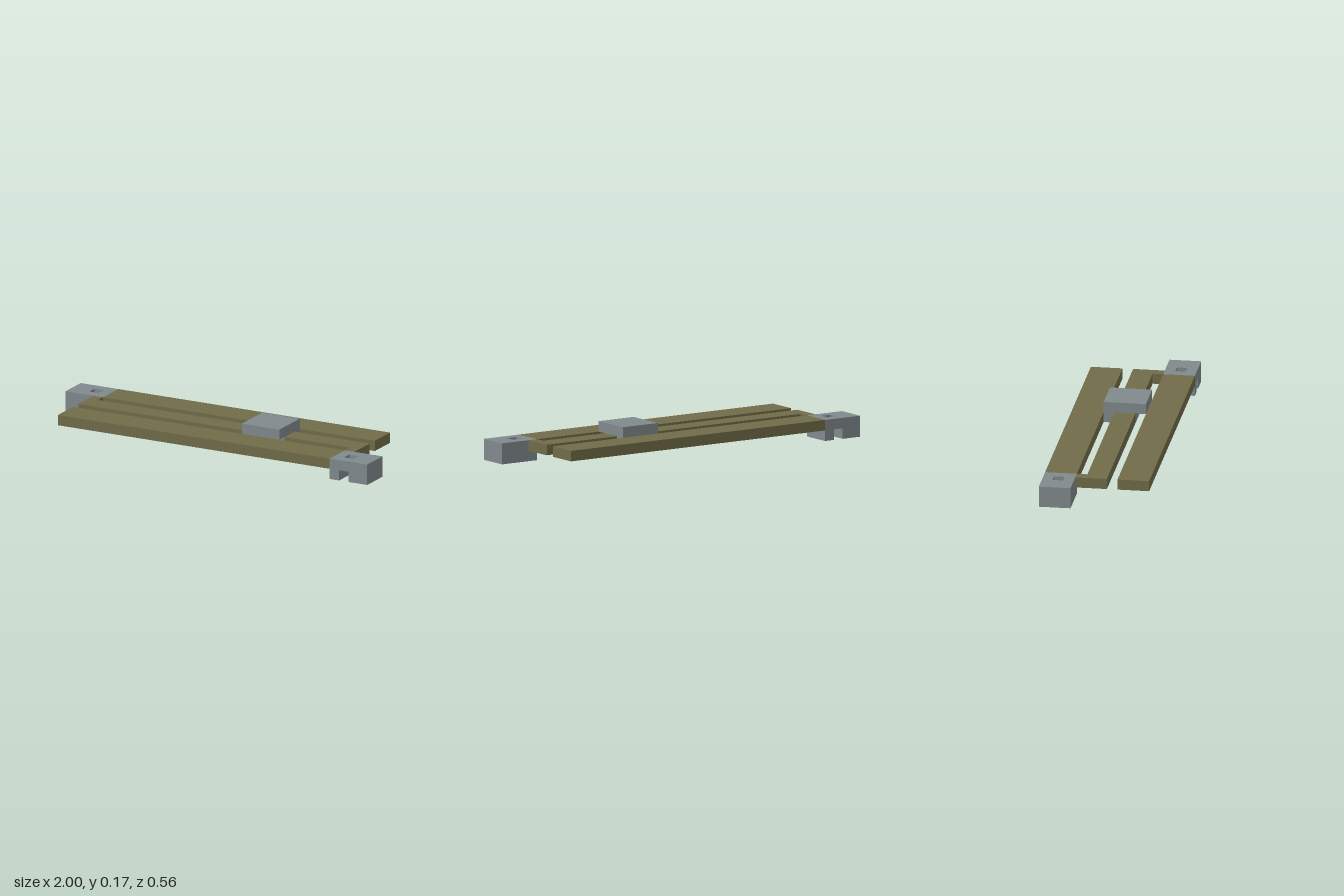
import * as THREE from 'three';

const U = 1 / 18; // grid unit

function outline(points, Type = THREE.Shape) {
  return new Type(points.map(([x, y]) => new THREE.Vector2(x * U, y * U)));
}

function extrude(shape, depth) {
  return new THREE.ExtrudeGeometry(shape, { depth: depth * U, bevelEnabled: false });
}

export function createModel() {
  const group = new THREE.Group();
  const olive = new THREE.MeshStandardMaterial({ color: 0x706b49 });
  olive.name = 'olive';
  const grey = new THREE.MeshStandardMaterial({ color: 0x80898c });
  grey.name = 'grey';

  function add(parent, name, geometry, material) {
    const mesh = new THREE.Mesh(geometry, material);
    mesh.name = name;
    parent.add(mesh);
    return mesh;
  }

  // Flat bar between y = 1 and y = 2 units
  function bar(parent, name, x0, x1, z0, z1) {
    const geometry = new THREE.BoxGeometry((x1 - x0) * U, U, (z1 - z0) * U);
    geometry.translate((x0 + x1) / 2 * U, 1.5 * U, (z0 + z1) / 2 * U);
    add(parent, name, geometry, olive);
  }

  // Each end: outer rail, connector and clamp; the other is the same turned half round
  for (const [side, angle] of [['front', 0], ['back', Math.PI]]) {
    const half = new THREE.Group();
    half.name = side + 'Half';
    half.rotation.y = angle;
    bar(half, side + 'Rail', -15, 14, 2, 5);
    bar(half, side + 'Connector', 14, 15, 1, 2);

    // Clamp top with a square hole
    const top = outline([[14, -5], [18, -5], [18, -2], [14, -2]]);
    top.holes.push(outline([[15, -4], [15, -3], [16, -3], [16, -4]], THREE.Path));
    const topGeometry = extrude(top, 1).rotateX(-Math.PI / 2).translate(0, U, 0);
    add(half, side + 'ClampTop', topGeometry, grey);

    // Clamp base with a slot open to the outside
    const base = outline([
      [14, -5], [15, -5], [15, -3], [16, -3], [16, -5], [18, -5], [18, -2], [14, -2],
    ]);
    add(half, side + 'ClampBase', extrude(base, 1).rotateX(-Math.PI / 2), grey);
    group.add(half);
  }

  // Middle rail, on both sides of the slider
  bar(group, 'middleRailLong', -15, 3, -1, 1);
  bar(group, 'middleRailShort', 7, 15, -1, 1);

  // Slider block, stepped underneath
  const profile = outline([[-2, 2], [-1, 2], [-1, 1], [2, 1], [2, 3], [-2, 3]]);
  add(group, 'slider', extrude(profile, 4).rotateY(Math.PI / 2).translate(3 * U, 0, 0), grey);

  return group;
}
